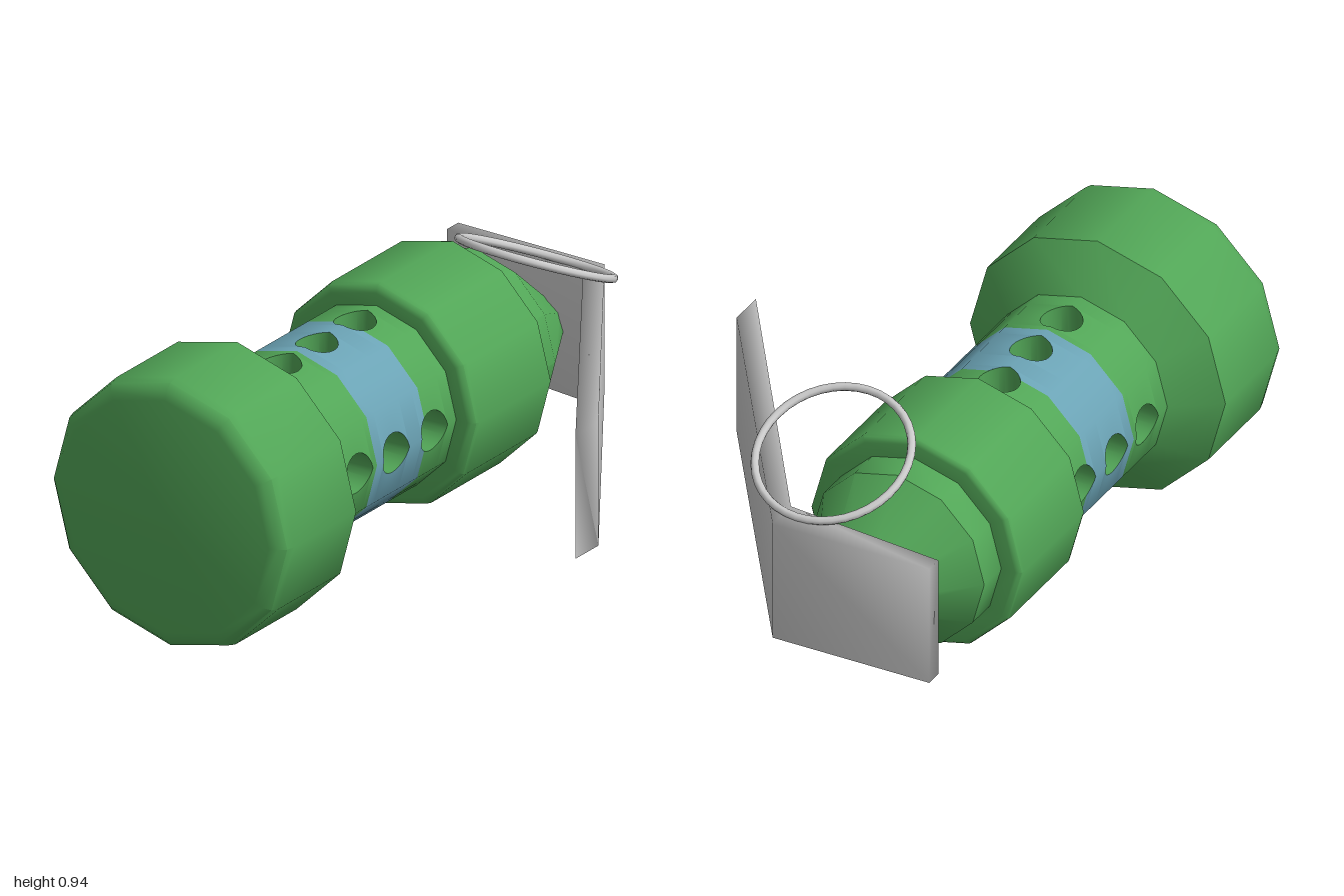
import * as THREE from 'three';
import { toCreasedNormals } from 'three/addons/utils/BufferGeometryUtils.js';

const CX = -0.2525, CY = 0.473;      // body axis, running along z
const R = 0.317;                     // tube radius (12 sides)
const HOLE_R = 0.069, HOLES = [-0.032, 0.175, 0.373];
const CREASE = 0.65;

const green = new THREE.MeshStandardMaterial({ color: 0x52a657 });
const blue = new THREE.MeshStandardMaterial({ color: 0x6ba3b5 });
const grey = new THREE.MeshStandardMaterial({ color: 0xcccccc });

function named(name, geometry, material) {
  const mesh = new THREE.Mesh(geometry, material);
  mesh.name = name;
  return mesh;
}

// Twelve-sided turned part about z; profile of [radius, z] with z rising
function turned(profile) {
  const pts = profile.map(([r, z]) => new THREE.Vector2(r, z));
  return new THREE.LatheGeometry(pts, 12).rotateX(Math.PI / 2);
}

// Quarter-round corner points
function corner(r, z, rad, from, to) {
  return [0, 1, 2, 3].map(i => {
    const a = from + (to - from) * i / 3;
    return [r + rad * Math.cos(a), z + rad * Math.sin(a)];
  });
}

// Half width of the drilled holes at depth z
function holeWidth(z) {
  return Math.max(...HOLES.map(c => Math.sqrt(Math.max(0, HOLE_R ** 2 - (z - c) ** 2))));
}

// Depth stations between z0 and z1, dense around the holes
function stations(z0, z1) {
  const zs = [z0, z1];
  for (const c of HOLES) {
    for (let i = 0; i <= 12; i++) {
      const z = c + HOLE_R * Math.cos(i * Math.PI / 12);
      if (z > z0 && z < z1) zs.push(z);
    }
  }
  return zs.sort((a, b) => a - b);
}

// Repeats quads of [x, y, z] around the axis: four quarters, each mirrored
function quadsAround(quads) {
  const pos = [];
  for (let q = 0; q < 4; q++) {
    const c = [1, 0, -1, 0][q], s = [0, 1, 0, -1][q];
    for (const side of [1, -1]) {
      for (const quad of quads) {
        const order = side > 0 ? [0, 1, 2, 0, 2, 3] : [0, 2, 1, 0, 3, 2];
        for (const k of order) {
          const [x, y, z] = quad[k];
          pos.push(side * x * c - y * s, side * x * s + y * c, z);
        }
      }
    }
  }
  const g = new THREE.BufferGeometry();
  g.setAttribute('position', new THREE.Float32BufferAttribute(pos, 3));
  g.computeVertexNormals();
  return toCreasedNormals(g, CREASE);
}

// Outer skin of a tube band, notched where the holes pass through
function tubeBand(z0, z1) {
  const t = Math.tan(Math.PI / 12), w = R / 2, quads = [];
  const zs = stations(z0, z1);
  for (let i = 0; i + 1 < zs.length; i++) {
    const a = zs[i], b = zs[i + 1], ua = holeWidth(a), ub = holeWidth(b);
    quads.push([[ua, R - ua * t, a], [ub, R - ub * t, b], [w, R - w * t, b], [w, R - w * t, a]]);
    // half of the plain face between two rows of holes
    const m = R * Math.cos(Math.PI / 12) * Math.SQRT1_2;
    quads.push([[w, R - w * t, a], [w, R - w * t, b], [m, m, b], [m, m, a]]);
  }
  return quadsAround(quads);
}

// Walls of the crossing tunnels, meeting on the axis
function tunnelWalls() {
  const t = Math.tan(Math.PI / 12), quads = [];
  for (const c of HOLES) {
    const zs = stations(c - HOLE_R, c + HOLE_R);
    for (let i = 0; i + 1 < zs.length; i++) {
      const a = zs[i], b = zs[i + 1], ua = holeWidth(a), ub = holeWidth(b);
      quads.push([[ua, R - ua * t, a], [ua, ua, a], [ub, ub, b], [ub, R - ub * t, b]]);
    }
  }
  return quadsAround(quads);
}

// Bent bar: rows of [x, outer z, inner z] between two heights, softly shaded
function leverGeometry() {
  const rows = [[-0.535, -0.98, -0.92], [0.03, -1.0, -0.882], [0.72, -0.02, 0.105]];
  const lo = 0.256, hi = 0.692, pos = [], idx = [];
  for (const [x, zo, zi] of rows) pos.push(x, lo, zo, x, hi, zo, x, hi, zi, x, lo, zi);
  for (let r = 0; r < 2; r++) {
    for (let k = 0; k < 4; k++) {
      const a = r * 4 + k, b = r * 4 + (k + 1) % 4;
      idx.push(a, b, b + 4, a, b + 4, a + 4);
    }
  }
  idx.push(0, 2, 1, 0, 3, 2, 8, 9, 10, 8, 10, 11);
  const g = new THREE.BufferGeometry();
  g.setAttribute('position', new THREE.Float32BufferAttribute(pos, 3));
  g.setIndex(idx);
  g.computeVertexNormals();
  return g;
}

export function createModel() {
  const model = new THREE.Group();
  model.name = 'canister';

  const body = new THREE.Group();
  body.name = 'body';
  body.position.set(CX, CY, 0);
  model.add(body);

  // Wide front cap
  const cap = turned([[R, 0.5], [0.47, 0.607], ...corner(0.41, 0.94, 0.06, 0, Math.PI / 2), [0, 1]]);
  body.add(named('frontCap', toCreasedNormals(cap, CREASE), green));

  // Perforated tube with its coloured band
  body.add(named('frontTube', tubeBand(0.283, 0.5), green));
  body.add(named('colourBand', tubeBand(0.006, 0.283), blue));
  body.add(named('rearTube', tubeBand(-0.16, 0.006), green));
  body.add(named('holeWalls', tunnelWalls(), green));

  // Rear collar
  const collar = turned([
    [R - 0.02, -0.575],
    ...corner(0.368, -0.553, 0.022, -Math.PI / 2, 0),
    ...corner(0.36, -0.177, 0.03, 0, Math.PI / 2),
    [R - 0.02, -0.147],
  ]);
  body.add(named('collar', toCreasedNormals(collar, CREASE), green));

  // Tapered nose, its tip flattened and shifted towards the lever bend
  const nose = turned([[0, -0.92], [0.11, -0.92], [R, -0.685], [R, -0.57]]);
  const p = nose.attributes.position;
  for (let i = 0; i < p.count; i++) {
    if (p.getZ(i) < -0.9) p.setXY(i, p.getX(i) * 1.2 + 0.05, p.getY(i) * 0.85);
  }
  body.add(named('nose', toCreasedNormals(nose, CREASE), green));

  model.add(named('lever', leverGeometry(), grey));

  // Tilted pull ring
  const ring = named('pullRing', new THREE.TorusGeometry(0.257, 0.014, 8, 40), grey);
  ring.position.set(-0.025, 0.81, -0.705);
  ring.rotation.x = 1.13;
  model.add(ring);

  return model;
}
